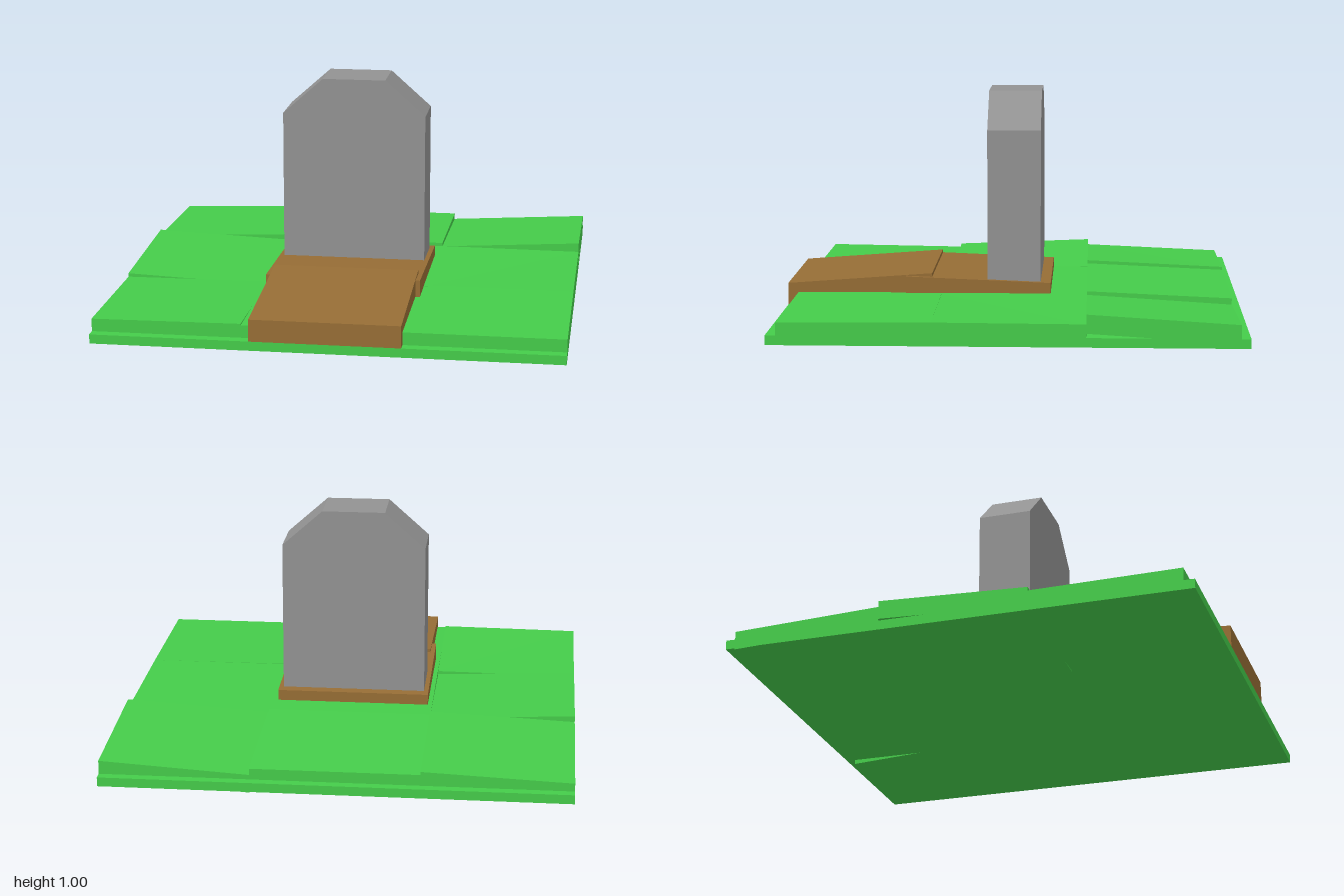
import * as THREE from 'three';

const mat = (name, color) => {
  const m = new THREE.MeshStandardMaterial({ color, flatShading: true });
  m.name = name;
  return m;
};

// Slab over [x0,x1] x [z0,z1]; top heights given at back-left, back-right, front-left, front-right (in x order)
function slab(x0, x1, z0, z1, [b0, b1, f0, f1], bottomOf) {
  const g = new THREE.BoxGeometry(1, 1, 1);
  const p = g.attributes.position;
  for (let i = 0; i < p.count; i++) {
    const u = p.getX(i) + 0.5, w = p.getZ(i) + 0.5;
    const top = (b0 * (1 - u) + b1 * u) * (1 - w) + (f0 * (1 - u) + f1 * u) * w;
    p.setXYZ(i, x0 + (x1 - x0) * u, p.getY(i) > 0 ? top : bottomOf(top), z0 + (z1 - z0) * w);
  }
  g.computeVertexNormals();
  return g;
}

export function createModel() {
  const model = new THREE.Group();
  const grass = mat('grassGreen', 0x45cc4a);
  const earth = mat('earthBrown', 0x966d35);
  const stone = mat('stoneGrey', 0x929292);
  const add = (name, geometry, material) => {
    const mesh = new THREE.Mesh(geometry, material);
    mesh.name = name;
    model.add(mesh);
    return mesh;
  };

  // Ground plate
  add('groundPlate', new THREE.BoxGeometry(2, 0.04, 2), grass).position.y = 0.04;

  // Three by three tilted turf tiles
  const xs = [-1, -0.36, 0.36, 1];
  const zs = [-0.96, -0.325, 0.315, 0.955];
  const tops = [
    [[0.095, 0.122, 0.122, 0.15], [0.108, 0.108, 0.135, 0.135], [0.08, 0.119, 0.119, 0.158]],
    [[0.148, 0.122, 0.122, 0.095], [0.12, 0.12, 0.12, 0.12], [0.12, 0.117, 0.12, 0.12]],
    [[0.106, 0.11, 0.115, 0.121], [0.118, 0.118, 0.115, 0.115], [0.122, 0.12, 0.115, 0.115]],
  ];
  tops.forEach((row, r) => row.forEach((t, c) => {
    add(`turfTile${r * 3 + c + 1}`, slab(xs[c], xs[c + 1], zs[r], zs[r + 1], t, (y) => y - 0.08), grass);
  }));

  // Earth slabs: one under the stone, one sloping to the front edge
  add('stoneBed', slab(-0.34, 0.34, -0.165, 0.475, [0.167, 0.167, 0.192, 0.192], (y) => y - 0.08), earth);
  add('graveMound', slab(-0.32, 0.32, 0.36, 1, [0.204, 0.204, 0.156, 0.156], () => 0.06), earth);

  // Headstone with chamfered top corners
  const outline = new THREE.Shape([
    [-0.32, 0.12], [0.32, 0.12], [0.32, 0.84], [0.14, 1], [-0.14, 1], [-0.32, 0.84],
  ].map(([x, y]) => new THREE.Vector2(x, y)));
  const headstone = new THREE.ExtrudeGeometry(outline, { depth: 0.235, bevelEnabled: false });
  add('headstone', headstone, stone).position.z = -0.12;

  return model;
}
